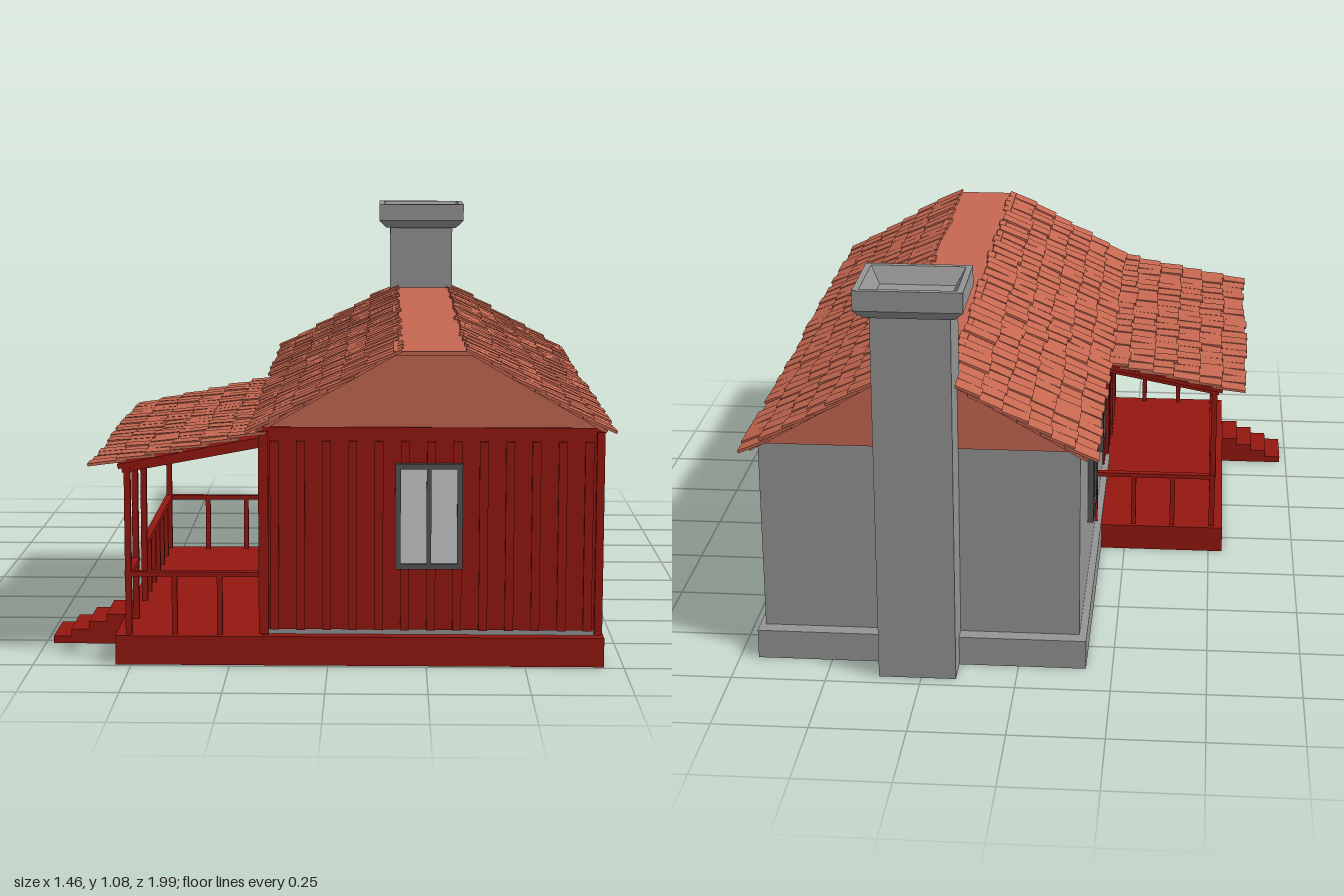
import * as THREE from 'three';
import { mergeGeometries } from 'three/addons/utils/BufferGeometryUtils.js';

const mat = (color) => new THREE.MeshStandardMaterial({ color, flatShading: true, side: THREE.DoubleSide });

export function createModel() {
  const model = new THREE.Group();
  const red = mat(0x951710), tileRed = mat(0xc66851), stone = mat(0x959595);
  const frameGrey = mat(0x555555), glass = mat(0xcccccc);

  const add = (name, geo, material, parent = model) => {
    const mesh = new THREE.Mesh(geo, material);
    mesh.name = name;
    parent.add(mesh);
    return mesh;
  };
  // Box given by its extents
  const block = (x0, x1, y0, y1, z0, z1) =>
    new THREE.BoxGeometry(x1 - x0, y1 - y0, z1 - z0).translate((x0 + x1) / 2, (y0 + y1) / 2, (z0 + z1) / 2);
  // Sloping slab between two points of the front plane
  const slab = (x0, y0, x1, y1, thick, z0, z1) =>
    new THREE.BoxGeometry(Math.hypot(x1 - x0, y1 - y0), thick, z1 - z0)
      .rotateZ(Math.atan2(y1 - y0, x1 - x0))
      .translate((x0 + x1) / 2, (y0 + y1) / 2, (z0 + z1) / 2);

  let seed = 7;
  const jitter = (amount) => {
    seed = (seed * 16807) % 2147483647;
    return (seed / 2147483647 - 0.5) * 2 * amount;
  };

  // Foundation and porch deck
  add('stoneFoundation', block(-0.18, 0.7, 0, 0.08, -0.88, 0.45), stone);
  add('frontFoundation', block(-0.18, 0.7, 0, 0.075, 0.45, 0.99), red);
  add('porchDeck', block(-0.54, -0.17, 0, 0.075, -0.1, 0.99), red);

  // Steps up to the porch
  for (let i = 0; i < 4; i++) {
    add('porchStep', block(-0.73 + i * 0.047, -0.54, 0, 0.02 * (i + 1) - 0.001, 0.62, 0.78), red);
  }

  // Walls
  add('stoneWalls', block(-0.16, 0.685, 0.07, 0.605, -0.84, 0.96), stone);
  add('frontBoards', block(-0.165, 0.69, 0.09, 0.61, 0.95, 0.97), red);
  add('rightBoards', block(0.675, 0.69, 0.08, 0.605, 0.45, 0.97), red);
  add('leftBoards', block(-0.166, -0.15, 0.08, 0.605, 0.36, 0.97), red);

  // Vertical battens on the boarded walls
  const battens = [];
  for (let i = 0; i < 13; i++) {
    const x = -0.135 + i * 0.066;
    battens.push(block(x - 0.011, x + 0.011, 0.09, 0.575, 0.965, 0.978));
  }
  for (let i = 0; i < 9; i++) {
    const z = 0.475 + i * 0.06;
    battens.push(block(0.685, 0.696, 0.08, 0.58, z - 0.01, z + 0.01));
    battens.push(block(-0.175, -0.16, 0.08, 0.58, z - 0.01, z + 0.01));
  }
  battens.push(block(-0.175, -0.15, 0.08, 0.6, 0.955, 0.982), block(0.675, 0.695, 0.08, 0.6, 0.96, 0.98));
  add('battens', mergeGeometries(battens), red);

  // Casement window facing +z, 0.17 wide and 0.27 high
  const addWindow = (name, x, y, z, turn) => {
    const win = new THREE.Group();
    win.name = name;
    const w = 0.085, h = 0.135, t = 0.014;
    add('pane', block(-w + t, w - t, -h + t, h - t, 0, 0.012), glass, win);
    add('windowFrame', mergeGeometries([
      block(-w, w, h - t, h, 0, 0.02), block(-w, w, -h, -h + t, 0, 0.02),
      block(-w, -w + t, -h, h, 0, 0.02), block(w - t, w, -h, h, 0, 0.02),
      block(-0.006, 0.006, -h, h, 0, 0.018),
    ]), frameGrey, win);
    win.position.set(x, y, z);
    win.rotation.y = turn;
    model.add(win);
  };
  addWindow('frontWindow', 0.255, 0.385, 0.967, 0);
  addWindow('sideWindow', -0.157, 0.385, -0.4, -Math.PI / 2);
  addWindow('porchWindow', -0.157, 0.385, 0.13, -Math.PI / 2);

  // Front door behind the steps
  add('door', block(-0.18, -0.16, 0.08, 0.48, 0.62, 0.78), red);

  // Solid gable shape under the main roof
  const gable = new THREE.Shape();
  gable.moveTo(-0.165, 0.605).lineTo(0.69, 0.605).lineTo(0.36, 0.795).lineTo(0.17, 0.795).closePath();
  add('gables', new THREE.ExtrudeGeometry(gable, { depth: 1.81, bevelEnabled: false }).translate(0, 0, -0.845), tileRed);

  // Roof sheets
  add('ridge', block(0.165, 0.365, 0.792, 0.802, -0.89, 0.972), tileRed);
  add('leftRoofSheet', slab(0.17, 0.796, -0.18, 0.596, 0.008, -0.88, 0.97), tileRed);
  add('rightRoofSheet', slab(0.36, 0.796, 0.7, 0.6, 0.008, -0.88, 0.97), tileRed);
  add('porchRoofSheet', slab(-0.16, 0.58, -0.53, 0.508, 0.012, -0.1, 0.975), red);

  // Courses of loose tiles laid from the top of a slope (x0, y0) to its eave (x1, y1)
  const tileSlope = (name, x0, y0, x1, y1, rows, z0, z1, tilt) => {
    const tiles = [], count = Math.round((z1 - z0) / 0.058), step = (z1 - z0) / count;
    const dir = Math.sign(x1 - x0);
    const len = Math.hypot(x1 - x0, y1 - y0) / rows * 1.4;
    const angle = Math.atan2(y1 - y0, Math.abs(x1 - x0)) * tilt;
    for (let r = 0; r < rows; r++) {
      const t = (r + 0.5) / rows;
      for (let i = 0; i < count; i++) {
        tiles.push(new THREE.BoxGeometry(len, 0.007, step * 0.95)
          .rotateY(jitter(0.05))
          .rotateZ(dir * (angle + jitter(0.03)))
          .translate(x0 + (x1 - x0) * t + jitter(0.006), y0 + (y1 - y0) * t + 0.007 + jitter(0.002),
            z0 + (i + 0.5) * step + jitter(0.002)));
      }
    }
    add(name, mergeGeometries(tiles), tileRed);
  };
  tileSlope('leftRoofTiles', 0.17, 0.796, -0.19, 0.594, 6, -0.895, 0.98, 0.8);
  tileSlope('rightRoofTiles', 0.36, 0.796, 0.71, 0.594, 6, -0.895, 0.98, 0.8);
  tileSlope('porchRoofTiles', -0.17, 0.589, -0.585, 0.506, 6, -0.115, 0.985, 0.5);

  // Porch posts, beams and rafters
  const post = (x, z, top, half = 0.008) => block(x - half, x + half, 0.07, top, z - half, z + half);
  const frame = [];
  for (const z of [-0.08, 0.6, 0.8, 0.965]) {
    frame.push(post(-0.507, z, 0.51));
    frame.push(slab(-0.16, 0.568, -0.52, 0.5, 0.016, z - 0.008, z + 0.008));
  }
  frame.push(post(-0.16, -0.08, 0.58), post(-0.16, 0.965, 0.58));
  frame.push(block(-0.515, -0.499, 0.49, 0.508, -0.09, 0.975));
  add('porchFrame', mergeGeometries(frame), red);

  // Railings, left open at the steps
  const rails = [];
  for (const z of [-0.08, 0.965]) {
    rails.push(block(-0.51, -0.16, 0.226, 0.238, z - 0.01, z + 0.01));
    for (const x of [-0.39, -0.275]) rails.push(post(x, z, 0.23, 0.007));
  }
  for (const [z0, z1, n] of [[-0.08, 0.6, 6], [0.8, 0.965, 1]]) {
    rails.push(block(-0.517, -0.497, 0.226, 0.238, z0, z1));
    for (let i = 1; i < n; i++) rails.push(post(-0.507, z0 + (z1 - z0) * i / n, 0.23, 0.007));
  }
  add('porchRailings', mergeGeometries(rails), red);

  // Chimney: rectangular rings of [outset, height], ending inside the flue
  const rings = [[0, 0], [0, 1], [0.012, 1], [0.036, 1.025], [0.036, 1.078], [0.02, 1.078], [-0.004, 1.035], [-0.08, 1.035]];
  const pos = [], index = [];
  rings.forEach(([o, y], r) => {
    for (const [sx, sz] of [[1, 1], [1, -1], [-1, -1], [-1, 1]]) {
      pos.push(0.26 + sx * (0.102 + o), y, -0.882 + sz * (0.082 + o));
    }
    if (r === 0) return;
    for (let k = 0; k < 4; k++) {
      const a = (r - 1) * 4 + k, b = (r - 1) * 4 + (k + 1) % 4;
      index.push(a, b, b + 4, a, b + 4, a + 4);
    }
  });
  index.push(0, 3, 2, 0, 2, 1);
  const chimney = new THREE.BufferGeometry();
  chimney.setAttribute('position', new THREE.Float32BufferAttribute(pos, 3));
  chimney.setIndex(index);
  chimney.computeVertexNormals();
  add('chimney', chimney, stone);

  return model;
}
